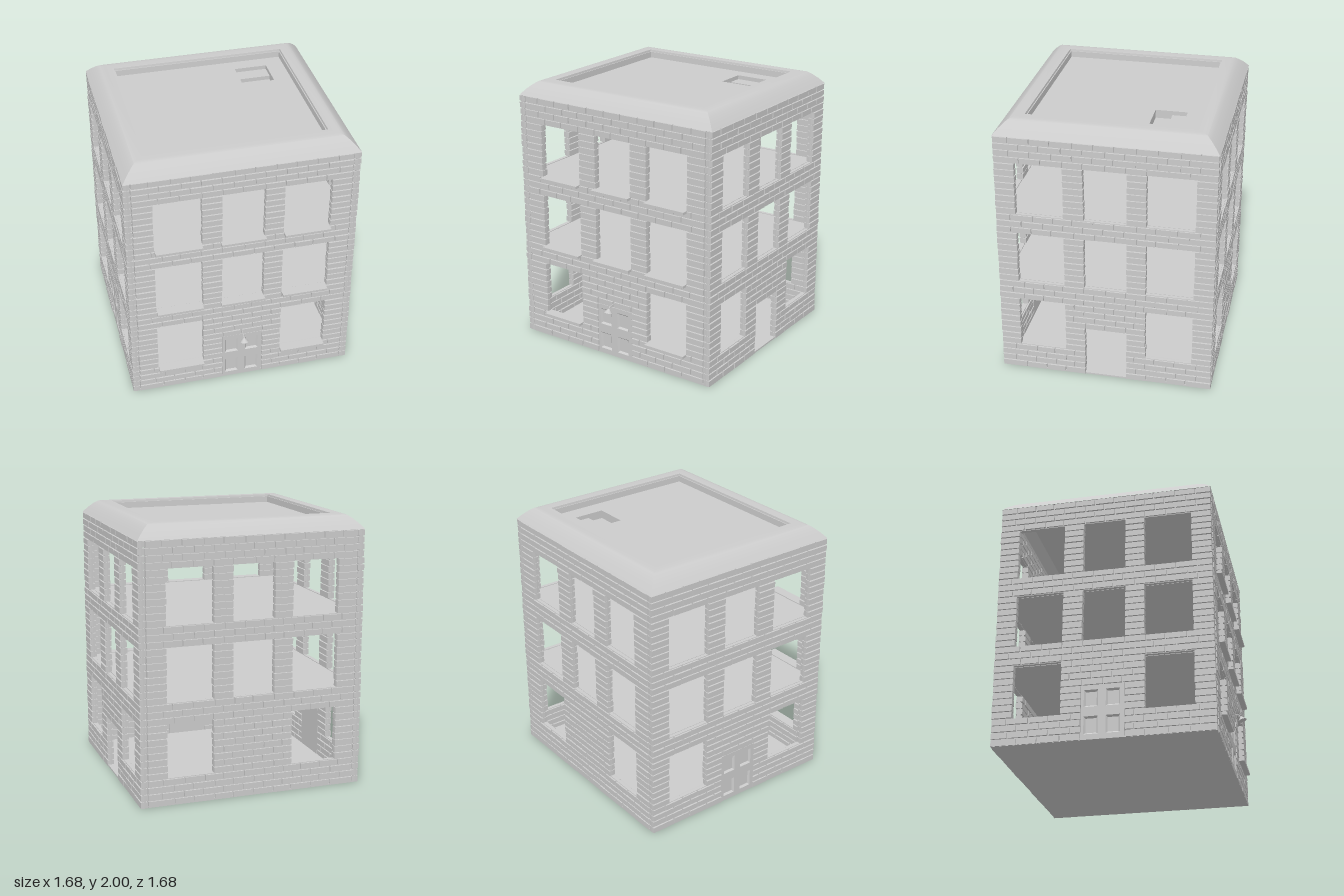
import * as THREE from 'three';
import { mergeGeometries, toCreasedNormals } from 'three/addons/utils/BufferGeometryUtils.js';

const material = new THREE.MeshStandardMaterial({ color: 0xcccccc });
const HALF_X = 0.84, HALF_Z = 0.79, THICK = 0.05, COURSE = 0.05;
const JOINT = 0.007, BEVEL = 0.0015;
const COLUMNS = [[-0.64, -0.3], [-0.15, 0.155], [0.3, 0.64]];
const STOREYS = [[0.2, 0.6], [0.75, 1.15], [1.3, 1.7]];

// seeded random numbers from 0 to 1
let seed = 7;
function random() {
  seed = (seed * 16807) % 2147483647;
  return seed / 2147483647;
}

function add(parent, name, geometry, x = 0, y = 0, z = 0) {
  const mesh = new THREE.Mesh(geometry, material);
  mesh.name = name;
  mesh.position.set(x, y, z);
  parent.add(mesh);
  return mesh;
}

// box given by its two extreme corners
function span(x0, x1, y0, y1, z0, z1) {
  return new THREE.BoxGeometry(x1 - x0, y1 - y0, z1 - z0)
    .translate((x0 + x1) / 2, (y0 + y1) / 2, (z0 + z1) / 2);
}

// brick through the full wall, narrowing to both faces
function brick(x0, x1, y0, y1) {
  const w = x1 - x0, h = y1 - y0;
  const geometry = new THREE.BoxGeometry(w, h, THICK, 1, 1, 2);
  const p = geometry.attributes.position;
  for (let i = 0; i < p.count; i++) {
    if (Math.abs(p.getZ(i)) < 0.001) continue;
    p.setX(i, Math.sign(p.getX(i)) * (w / 2 - BEVEL));
    p.setY(i, Math.sign(p.getY(i)) * (h / 2 - BEVEL));
  }
  return geometry.translate((x0 + x1) / 2, (y0 + y1) / 2, -THICK / 2 + (random() - 0.5) * 0.004);
}

function rect(target, x0, x1, y0, y1) {
  return target.moveTo(x0, y0).lineTo(x1, y0).lineTo(x1, y1).lineTo(x0, y1).closePath();
}

// a plate in the xy plane with rectangular holes
function plate(outer, holes, depth) {
  const shape = rect(new THREE.Shape(), ...outer);
  holes.forEach(h => shape.holes.push(rect(new THREE.Path(), ...h)));
  return new THREE.ExtrudeGeometry(shape, { depth, bevelEnabled: false });
}

// a profile of [inset, height] swept round a rectangle in the xz plane
function rectangularFrame(profile, halfX, halfZ) {
  const signs = [[-1, 1], [1, 1], [1, -1], [-1, -1]];
  const corner = (i, p) => [signs[i % 4][0] * (halfX - p[0]), p[1], signs[i % 4][1] * (halfZ - p[0])];
  const positions = [];
  for (let side = 0; side < 4; side++) {
    for (let k = 0; k + 1 < profile.length; k++) {
      const a = corner(side, profile[k]), b = corner(side + 1, profile[k]);
      const c = corner(side + 1, profile[k + 1]), d = corner(side, profile[k + 1]);
      positions.push(...a, ...b, ...c, ...a, ...c, ...d);
    }
  }
  const geometry = new THREE.BufferGeometry();
  geometry.setAttribute('position', new THREE.Float32BufferAttribute(positions, 3));
  return toCreasedNormals(geometry, 0.5);
}

// openings crossed by a course of bricks at height y
function openingsAt(y, hasDoor) {
  const storey = STOREYS.findIndex(([a, b]) => y > a && y < b);
  return COLUMNS.filter((c, i) => {
    if (i === 1 && hasDoor && y < 0.4) return true;
    return storey >= 0 && !(i === 1 && storey === 0);
  });
}

// brick wall: outer face at z = 0, centred on x
function brickWall(half, hasDoor) {
  const bricks = [], mortar = [];
  for (let row = 0; row < 38; row++) {
    const y0 = row * COURSE, y1 = y0 + COURSE;
    const edges = [-half, ...openingsAt(y0 + COURSE / 2, hasDoor).flat(), half];
    for (let s = 0; s < edges.length; s += 2) {
      const a = edges[s], b = edges[s + 1];
      mortar.push(span(a + 0.006, b - 0.006, y0, y1, -THICK + 0.012, -0.012));
      const cuts = [a];
      if (b - a > 0.2) {
        for (let u = -0.9 + (row % 2) * 0.075; u < b - 0.05; u += 0.15) {
          if (u > a + 0.05) cuts.push(u + (random() - 0.5) * 0.02);
        }
      }
      cuts.push(b);
      for (let i = 0; i + 1 < cuts.length; i++) {
        // slightly uneven brick ends at the jambs
        const l = cuts[i] + (i ? JOINT / 2 : random() * 0.004);
        const r = cuts[i + 1] - (i + 2 < cuts.length ? JOINT / 2 : random() * 0.004);
        bricks.push(brick(l, r, y0 + (row ? JOINT / 2 : 0), y1 - JOINT / 2));
      }
    }
  }
  const wall = new THREE.Group();
  add(wall, 'bricks', toCreasedNormals(mergeGeometries(bricks), 0.05));
  add(wall, 'mortar', mergeGeometries(mortar));
  return wall;
}

// door with four sunken panels: outer face close to z = 0
function panelDoor() {
  const holes = [], mouldings = [];
  for (const [x0, x1] of [[-0.13, -0.03], [0.025, 0.125]]) {
    for (const [y0, y1] of [[0.04, 0.17], [0.24, 0.365]]) {
      holes.push([x0, x1, y0, y1]);
      mouldings.push(rectangularFrame([[0, -0.004], [0.012, -0.018]], (x1 - x0) / 2, (y1 - y0) / 2)
        .rotateX(Math.PI / 2).translate((x0 + x1) / 2, (y0 + y1) / 2, 0));
    }
  }
  const door = new THREE.Group();
  add(door, 'doorFrame', plate([-0.15, 0.155, 0, 0.4], holes, 0.015), 0, 0, -0.019);
  add(door, 'panelMouldings', mergeGeometries(mouldings));
  add(door, 'doorBack', span(-0.15, 0.155, 0, 0.4, -THICK, -0.018));
  return door;
}

export function createModel() {
  const model = new THREE.Group();
  model.name = 'brickBuilding';
  const house = new THREE.Group();
  house.name = 'house';
  house.position.z = -0.05;
  model.add(house);

  // four walls, with doors at the front and the right, and an open doorway on the left
  const sides = [
    ['front', 0, HALF_Z, 'door'], ['left', Math.PI / 2, HALF_X, 'open'],
    ['back', Math.PI, HALF_Z, 'none'], ['right', -Math.PI / 2, HALF_X, 'door'],
  ];
  sides.forEach(([name, angle, distance, entry], i) => {
    const side = new THREE.Group();
    side.name = name + 'Side';
    side.rotation.y = angle;
    house.add(side);
    const wall = brickWall(i % 2 ? HALF_Z : HALF_X - THICK - 0.002, entry !== 'none');
    wall.name = name + 'Wall';
    wall.position.z = distance;
    side.add(wall);
    if (entry === 'door') {
      const door = panelDoor();
      door.name = name + 'Door';
      door.position.z = distance;
      side.add(door);
    }
  });

  // floors
  const ix = HALF_X - THICK + 0.005, iz = HALF_Z - THICK + 0.005;
  add(house, 'groundFloor', span(-0.835, 0.835, 0, 0.012, -0.785, 0.785));
  add(house, 'firstFloor', span(-ix, ix, 0.6, 0.748, -iz, iz));
  add(house, 'secondFloor', span(-ix, ix, 1.152, 1.298, -iz, iz));

  // hollow sloping roof rim round a sunken deck
  const rim = [[0, 1.9], [0.035, 1.94], [0.07, 1.973], [0.1, 1.995], [0.125, 2], [0.19, 2],
    [0.193, 1.985], [0.2, 1.985], [0.203, 1.91], [0.19, 1.91], [0.185, 1.975],
    [0.12, 1.975], [0.052, 1.92], [0.05, 1.898], [0, 1.898]];
  add(house, 'roofRim', rectangularFrame(rim, HALF_X, HALF_Z));
  const hatch = [0.26, 0.505, 0.25, 0.48];
  const deck = plate([-0.642, 0.642, -0.592, 0.592], [hatch], 0.03).rotateX(-Math.PI / 2);
  add(house, 'roofDeck', deck, 0, 1.91, 0);

  // stepped hatch under the deck
  const hatchWalls = plate([0.25, 0.515, 0.24, 0.49], [hatch], 0.055).rotateX(-Math.PI / 2);
  add(house, 'hatchWalls', hatchWalls, 0, 1.86, 0);
  add(house, 'hatchUpperStep', span(0.255, 0.51, 1.862, 1.91, -0.485, -0.37));
  add(house, 'hatchLowerStep', span(0.255, 0.51, 1.862, 1.88, -0.37, -0.245));

  // window ledges on the front
  STOREYS.forEach(([sill], storey) => COLUMNS.forEach(([a, b], column) => {
    if (storey === 0 && column === 1) return;
    const extra = column === 1 ? 0.015 : 0;
    add(model, 'windowLedge', span(a - extra, b + extra / 2, sill - 0.016, sill + 0.002, 0.7, 0.78));
  }));

  // lamp over the front door
  const lamp = new THREE.Group();
  lamp.name = 'doorLamp';
  model.add(lamp);
  const arm = new THREE.CurvePath();
  const bends = [[0.73, 0.433], [0.782, 0.433], [0.808, 0.41]].map(([z, y]) => new THREE.Vector3(0, y, z));
  arm.add(new THREE.LineCurve3(bends[0], bends[1]));
  arm.add(new THREE.LineCurve3(bends[1], bends[2]));
  add(lamp, 'lampArm', new THREE.TubeGeometry(arm, 24, 0.004, 8));
  const shade = add(lamp, 'lampShade', new THREE.CylinderGeometry(0.005, 0.032, 0.032, 20), 0, 0.404, 0.806);
  shade.rotation.x = -0.3;
  return model;
}
